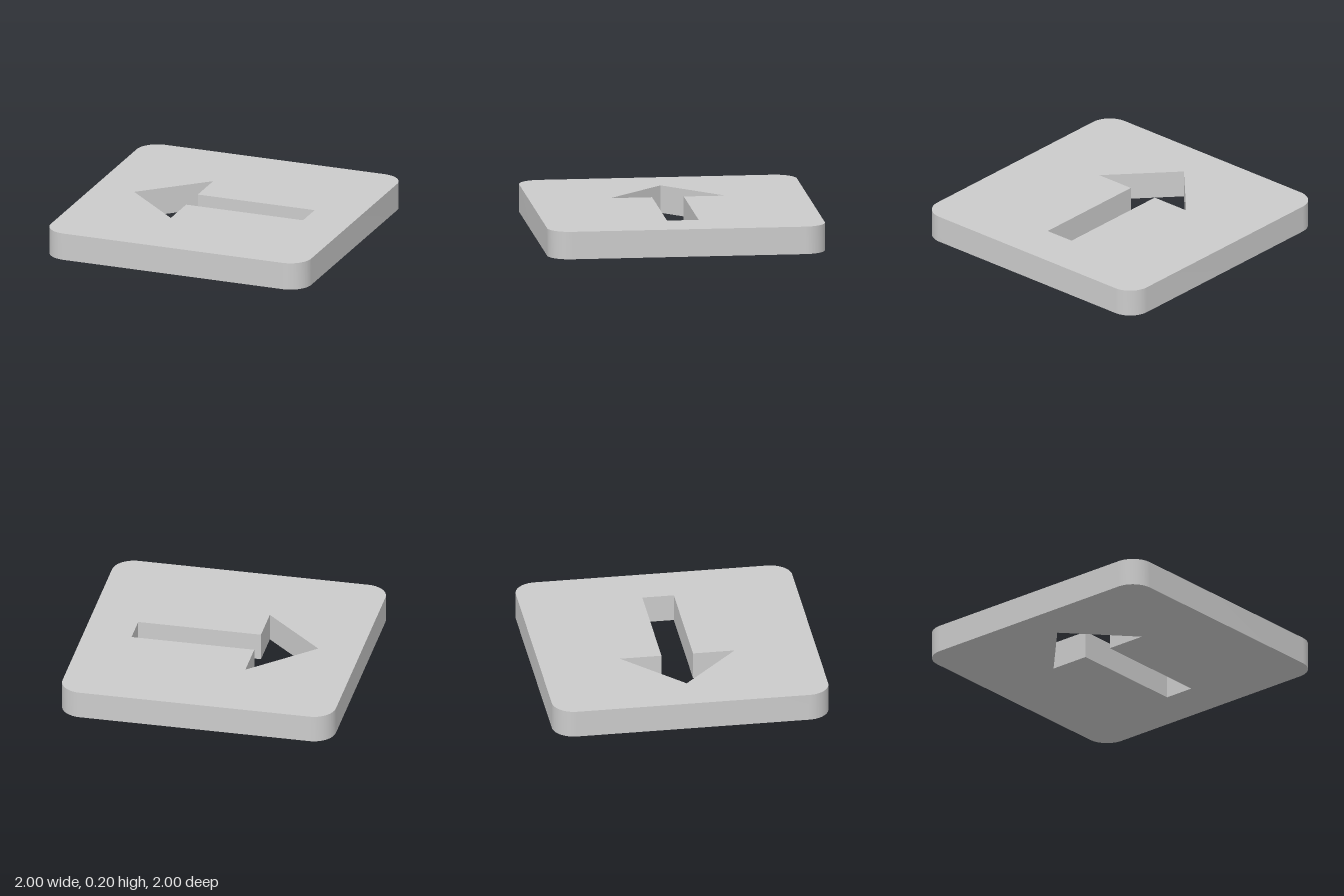
import * as THREE from 'three';
import { toCreasedNormals } from 'three/addons/utils/BufferGeometryUtils.js';

const HALF = 1, RADIUS = 0.16, THICKNESS = 0.2;

// Square outline with rounded corners
function roundedSquare(h, r) {
  const shape = new THREE.Shape();
  const c = h - r;
  for (let i = 0; i < 4; i++) {
    const a = i * Math.PI / 2;
    const sx = i === 0 || i === 3 ? 1 : -1;
    const sy = i < 2 ? 1 : -1;
    shape.absarc(sx * c, sy * c, r, a, a + Math.PI / 2, false);
  }
  shape.closePath();
  return shape;
}

// Arrow outline pointing to -x, mirrored about its axis
function arrowPath() {
  const tip = -0.69, neck = -0.246, end = 0.652, head = 0.415, shaft = 0.114;
  const upper = [[neck, head], [neck, shaft], [end, shaft]];
  const lower = upper.map(([x, y]) => [x, -y]).reverse();
  return new THREE.Path([[tip, 0], ...upper, ...lower].map(([x, y]) => new THREE.Vector2(x, y)));
}

export function createModel() {
  const group = new THREE.Group();
  group.name = 'arrowTile';

  // Flat plate with the arrow cut right through
  const outline = roundedSquare(HALF, RADIUS);
  outline.holes.push(arrowPath());
  const extruded = new THREE.ExtrudeGeometry(outline, {
    depth: THICKNESS, bevelEnabled: false, curveSegments: 16,
  });
  extruded.rotateX(-Math.PI / 2);

  const plate = new THREE.Mesh(
    toCreasedNormals(extruded, Math.PI / 6),
    new THREE.MeshStandardMaterial({ color: 0xcccccc }),
  );
  plate.name = 'plateWithArrowCutout';
  group.add(plate);
  return group;
}
